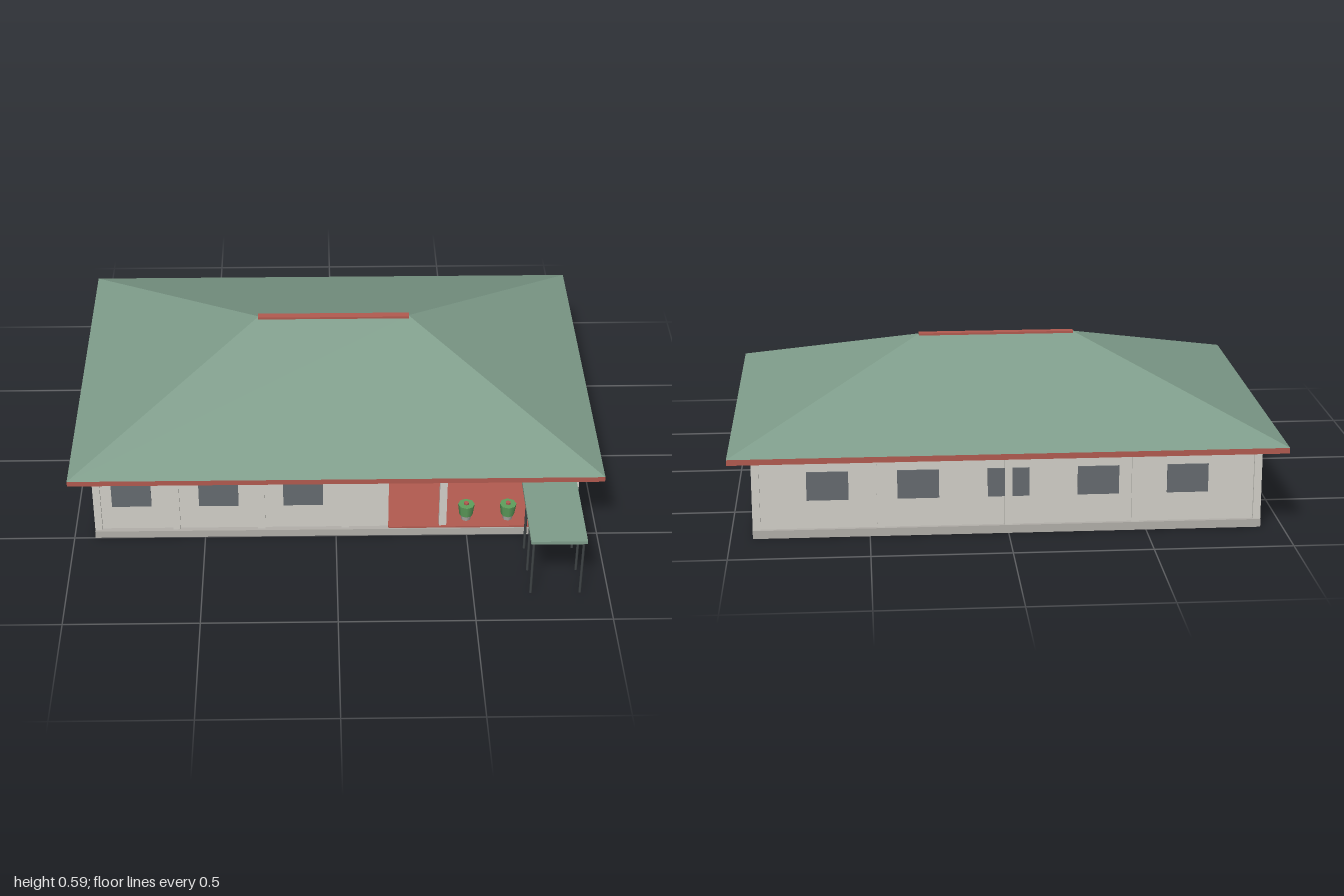
import * as THREE from 'three';

export function createModel() {
  const house = new THREE.Group();
  house.name = 'house';
  const mat = (name, color) => {
    const m = new THREE.MeshStandardMaterial({ color });
    m.name = name;
    return m;
  };
  const roofGreen = mat('roof green', 0x7f9d8b);
  const trimRed = mat('trim red', 0xb35b50);
  const wallCream = mat('wall cream', 0xd3d1ca);
  const slabGrey = mat('slab grey', 0xb3b0aa);
  const glassGrey = mat('glass grey', 0x666b70);
  const metalDark = mat('dark metal', 0x3f4446);
  const plantGreen = mat('plant green', 0x5f9f5c);

  const add = (name, geo, m, parent = house) => {
    const mesh = new THREE.Mesh(geo, m);
    mesh.name = name;
    parent.add(mesh);
    return mesh;
  };
  // Box given by its lower and upper limits on each axis
  const box = (name, m, x0, x1, y0, y1, z0, z1, parent) => {
    const mesh = add(name, new THREE.BoxGeometry(x1 - x0, y1 - y0, z1 - z0), m, parent);
    mesh.position.set((x0 + x1) / 2, (y0 + y1) / 2, (z0 + z1) / 2);
    return mesh;
  };
  const rod = (name, m, r, x, y0, y1, z, sides = 8, parent = house, rTop = r) => {
    const mesh = add(name, new THREE.CylinderGeometry(rTop, r, y1 - y0, sides), m, parent);
    mesh.position.set(x, (y0 + y1) / 2, z);
    return mesh;
  };

  // Floor slab and porch floor
  box('slab', slabGrey, -0.92, 0.92, 0, 0.03, -0.795, 0.5);
  box('porchFloor', trimRed, 0.2, 0.91, 0.03, 0.036, 0.02, 0.495);

  // Walls: footprint with the front porch and the side recess cut out
  const plan = [[-0.91, -0.78], [0.91, -0.78], [0.91, -0.165], [0.62, -0.165], [0.62, 0],
    [0.91, 0], [0.91, 0.025], [0.2, 0.025], [0.2, 0.48], [-0.91, 0.48]];
  const footprint = new THREE.Shape(plan.map(([x, z]) => new THREE.Vector2(x, -z)));
  const wallGeo = new THREE.ExtrudeGeometry(footprint, { depth: 0.29, bevelEnabled: false });
  wallGeo.rotateX(-Math.PI / 2);
  wallGeo.translate(0, 0.03, 0);
  add('walls', wallGeo, wallCream);

  // Pilasters and porch columns
  const pillar = (name, x, z, w = 0.028) =>
    box(name, wallCream, x - w / 2, x + w / 2, 0.03, 0.32, z - w / 2, z + w / 2);
  for (const x of [-0.906, -0.608, -0.284, 0.035]) pillar('frontPilaster', x, 0.476);
  for (const x of [-0.906, -0.46, 0, 0.46, 0.906]) pillar('backPilaster', x, -0.776);
  pillar('leftSidePilaster', -0.906, -0.15);
  pillar('porchColumn', 0.408, 0.474);
  pillar('porchColumn', 0.9, 0.474, 0.035);
  pillar('porchColumn', 0.9, 0.255);
  pillar('porchWallPilaster', 0.2, 0.165);
  box('porchBeam', wallCream, 0.2, 0.915, 0.297, 0.32, 0.462, 0.488);
  box('porchBeam', wallCream, 0.888, 0.912, 0.297, 0.32, 0.02, 0.488);

  // Windows as thin plates on the walls
  const pane = (x, z, turned, w = 0.15, y0 = 0.137, y1 = 0.243) => turned
    ? box('window', glassGrey, x - 0.004, x + 0.004, y0, y1, z - w / 2, z + w / 2)
    : box('window', glassGrey, x - w / 2, x + w / 2, y0, y1, z - 0.004, z + 0.004);
  for (const x of [-0.775, -0.445, -0.125]) pane(x, 0.481, false);
  for (const x of [-0.65, -0.325, 0, 0.325, 0.65]) pane(x, -0.781, false);
  for (const z of [-0.295, -0.54]) pane(0.911, z, true);
  for (const z of [-0.56, -0.28, -0.01, 0.26]) pane(-0.911, z, true);
  pane(0.545, 0.026, false, 0.25, 0.12, 0.25);

  // Entrance doors with light panels
  const doors = new THREE.Group();
  doors.name = 'entranceDoors';
  house.add(doors);
  box('doorFrame', glassGrey, 0.205, 0.395, 0.036, 0.295, 0.022, 0.031, doors);
  box('doorTransom', wallCream, 0.205, 0.395, 0.232, 0.238, 0.03, 0.034, doors);
  for (const x of [0.218, 0.32]) box('doorPanel', wallCream, x, x + 0.067, 0.08, 0.185, 0.03, 0.034, doors);

  // Hip roof with four slopes and a flat soffit
  const X = 1, Z0 = -0.875, Z1 = 0.575, E = 0.325, R = 0.295, T = 0.585, ZR = -0.15;
  const indexed = new THREE.BufferGeometry();
  indexed.setAttribute('position', new THREE.Float32BufferAttribute([
    -X, E, Z0, X, E, Z0, X, E, Z1, -X, E, Z1, -R, T, ZR, R, T, ZR], 3));
  indexed.setIndex([3, 2, 5, 3, 5, 4, 1, 0, 4, 1, 4, 5, 2, 1, 5, 0, 3, 4, 0, 1, 2, 0, 2, 3]);
  const roofGeo = indexed.toNonIndexed();
  roofGeo.computeVertexNormals();
  add('roof', roofGeo, roofGreen);
  box('soffit', roofGreen, -0.99, 0.99, 0.315, 0.323, Z0 + 0.01, Z1 - 0.01);
  box('ridgeCap', trimRed, -0.297, 0.297, 0.578, 0.588, -0.165, -0.135);
  for (const s of [-1, 1]) {
    const x = s * 0.994;
    box('sideFascia', trimRed, x - 0.006, x + 0.006, 0.304, 0.325, Z0, Z1);
  }
  box('frontFascia', trimRed, -0.99, 0.99, 0.304, 0.325, Z1 - 0.012, Z1);
  box('backFascia', trimRed, -0.99, 0.99, 0.304, 0.325, Z0, Z0 + 0.012);

  // Entrance canopy on slender posts
  box('canopy', roofGreen, 0.7, 0.905, 0.245, 0.258, 0.45, 0.87);
  for (const x of [0.713, 0.895])
    for (const z of [0.585, 0.715, 0.845]) rod('canopyPost', metalDark, 0.005, x, 0, 0.246, z);

  // Potted plants on the porch
  for (const [x, z] of [[0.5, 0.445], [0.66, 0.445], [0.86, 0.36], [0.86, 0.165]]) {
    const pot = new THREE.Group();
    pot.name = 'pottedPlant';
    house.add(pot);
    rod('pot', slabGrey, 0.018, x, 0.036, 0.07, z, 8, pot, 0.024);
    rod('foliage', plantGreen, 0.026, x, 0.058, 0.105, z, 8, pot, 0.032);
    rod('flower', trimRed, 0.01, x, 0.103, 0.112, z, 6, pot);
  }
  for (const y of [0.192, 0.222]) rod('hangingPlant', plantGreen, 0.024, 0.45, y, y + 0.012, 0.255);

  // Row of porch chairs
  for (const x of [0.685, 0.735, 0.785, 0.835]) {
    const chair = new THREE.Group();
    chair.name = 'porchChair';
    house.add(chair);
    box('seat', metalDark, x - 0.019, x + 0.019, 0.06, 0.072, 0.075, 0.12, chair);
    box('chairBack', metalDark, x - 0.019, x + 0.019, 0.088, 0.12, 0.07, 0.077, chair);
    for (const s of [-1, 1]) {
      box('rearLeg', metalDark, x + s * 0.016 - 0.002, x + s * 0.016 + 0.002, 0.036, 0.09, 0.071, 0.076, chair);
      box('frontLeg', metalDark, x + s * 0.016 - 0.002, x + s * 0.016 + 0.002, 0.036, 0.06, 0.115, 0.12, chair);
    }
  }

  // Arched board and light frame beside the chairs
  const arch = (w, h) => {
    const s = new THREE.Shape();
    s.moveTo(-w, 0);
    s.lineTo(w, 0);
    s.lineTo(w, h - w);
    s.absarc(0, h - w, w, 0, Math.PI, false);
    return new THREE.ExtrudeGeometry(s, { depth: 0.008, bevelEnabled: false, curveSegments: 10 });
  };
  add('archedBoard', arch(0.03, 0.148), metalDark).position.set(0.58, 0.036, 0.07);
  add('archedBoardPanel', arch(0.021, 0.075), wallCream).position.set(0.58, 0.085, 0.073);
  for (const x of [0.69, 0.855]) rod('framePost', metalDark, 0.003, x, 0.036, 0.21, 0.135);
  box('frameRail', metalDark, 0.69, 0.855, 0.206, 0.212, 0.132, 0.138);

  return house;
}
